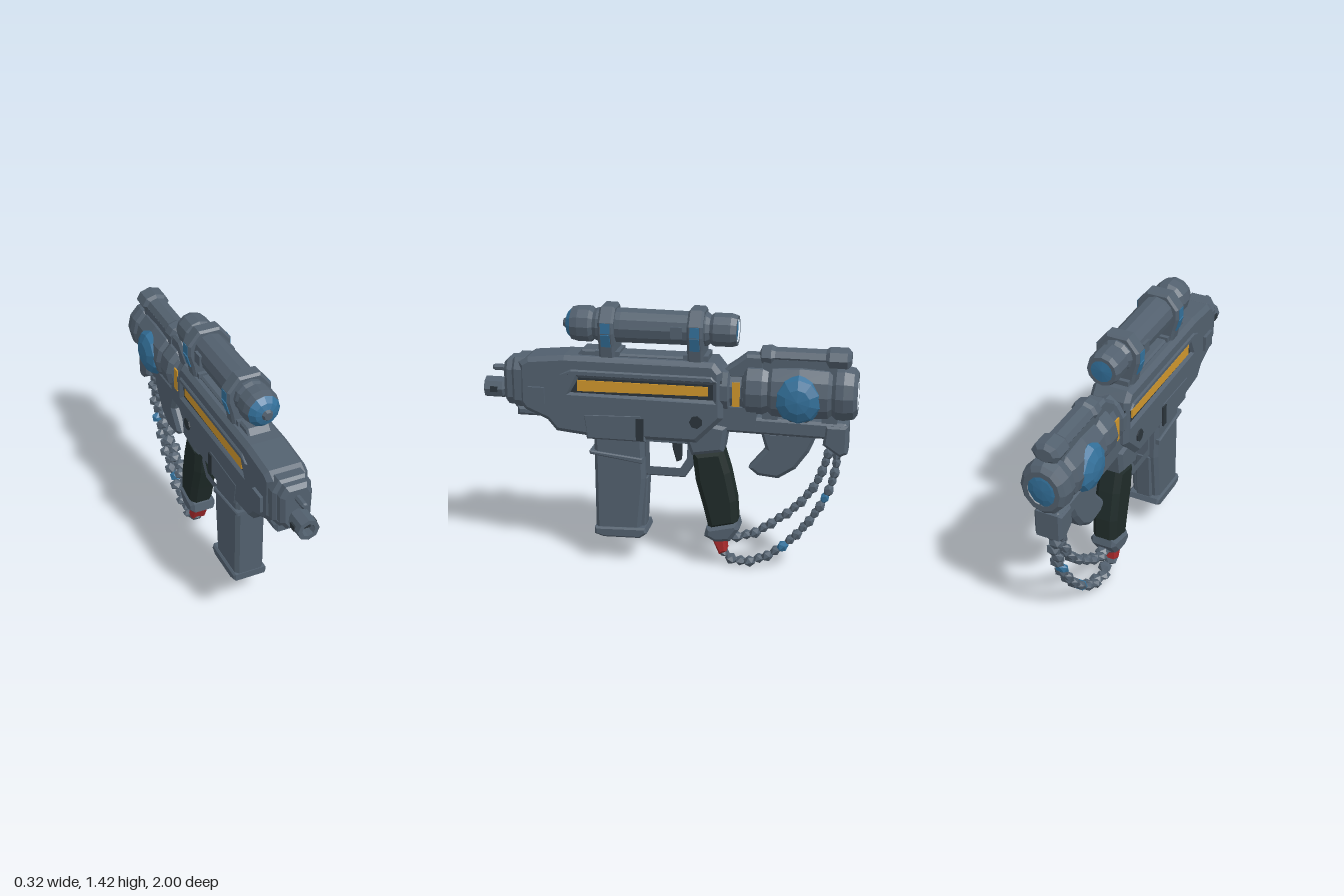
import * as THREE from 'three';

const flat = (name, color, side = THREE.FrontSide) => {
  const m = new THREE.MeshStandardMaterial({ color, side, flatShading: true });
  m.name = name;
  return m;
};

export function createModel() {
  const root = new THREE.Group();
  root.name = 'blaster';
  const slate = flat('slate metal', 0x52606e);
  const dark = flat('dark recess', 0x2b343b);
  const green = flat('dark grip', 0x1f2b29);
  const blue = flat('blue glass', 0x33709a);
  const yellow = flat('amber stripe', 0xcf962c);
  const red = flat('red tip', 0xa82a2c);

  const add = (name, geo, mat, x = 0, y = 0, z = 0) => {
    const mesh = new THREE.Mesh(geo, mat);
    mesh.name = name;
    mesh.position.set(x, y, z);
    root.add(mesh);
    return mesh;
  };
  const box = (name, mat, w, h, d, x, y, z) => add(name, new THREE.BoxGeometry(w, h, d), mat, x, y, z);
  const shapeOf = (pts) => new THREE.Shape(pts.map(([a, b]) => new THREE.Vector2(a, b)));

  // Side profile of [z, y] points, extruded across x with a chamfer
  const slab = (name, mat, pts, width, bevel = 0.015, hole = null) => {
    const s = shapeOf(pts);
    if (hole) s.holes.push(new THREE.Path(hole.map(([a, b]) => new THREE.Vector2(a, b))));
    const g = new THREE.ExtrudeGeometry(s, {
      depth: width - 2 * bevel, bevelEnabled: bevel > 0, bevelSegments: 1,
      bevelSize: bevel, bevelThickness: bevel, bevelOffset: -bevel,
    });
    g.translate(0, 0, bevel - width / 2).rotateY(-Math.PI / 2);
    return add(name, g, mat);
  };
  // Front profile of [x, y] points, extruded along z between two depths
  const section = (name, mat, pts, z0, z1, bevel = 0.015) => {
    const g = new THREE.ExtrudeGeometry(shapeOf(pts), {
      depth: z1 - z0 - 2 * bevel, bevelEnabled: true, bevelSegments: 1,
      bevelSize: bevel, bevelThickness: bevel, bevelOffset: -bevel,
    });
    return add(name, g, mat, 0, 0, z0 + bevel);
  };
  // Turned part along z from [z, radius] points, rear to front
  const turned = (name, mat, pts, y, sides = 12, sx = 1, x = 0) => {
    const g = new THREE.LatheGeometry(pts.map(([z, r]) => new THREE.Vector2(r, z)), sides);
    g.rotateX(Math.PI / 2).scale(sx, 1, 1);
    return add(name, g, mat, x, y, 0);
  };

  // Receiver with a long slot through its sides
  slab('receiver', slate, [
    [0.79, 0.9], [0.79, 1.12], [0.74, 1.15], [0.54, 1.17], [-0.26, 1.17], [-0.3, 1.12], [-0.31, 0.87],
    [-0.24, 0.8], [-0.17, 0.73], [0.1, 0.73], [0.4, 0.73], [0.59, 0.75], [0.64, 0.81], [0.76, 0.86],
  ], 0.22, 0.024, [[0.5, 0.975], [-0.25, 0.975], [-0.25, 1.045], [0.46, 1.045]]);
  box('slotCore', dark, 0.186, 0.13, 0.84, 0, 1.01, 0.12);
  slab('lowerForeEnd', slate, [[0.81, 0.82], [0.81, 0.87], [0.4, 0.87], [0.4, 0.78], [0.62, 0.79], [0.66, 0.82]], 0.16);
  slab('topRail', slate, [[0.49, 1.15], [0.45, 1.2], [0.37, 1.2], [0.34, 1.185], [-0.2, 1.185], [-0.25, 1.15]], 0.13, 0.01);
  for (const s of [-1, 1]) {
    const stripe = slab('sideStripe', yellow, [[0.47, 0.98], [0.47, 1.04], [-0.23, 1.04], [-0.23, 0.99]], 0.008, 0);
    stripe.position.x = s * 0.096;
    const ridge = slab('sideRidge', slate, [[0.56, 1.07], [0.5, 1.1], [-0.25, 1.1], [-0.28, 1.07]], 0.03, 0.008);
    ridge.position.x = s * 0.105;
    const plate = slab('lowerSidePlate', slate, [[0.42, 0.72], [0.44, 0.86], [0.12, 0.87], [0.1, 0.72]], 0.03, 0.01);
    plate.position.x = s * 0.098;
    box('frontLug', slate, 0.03, 0.09, 0.09, s * 0.112, 0.95, 0.69);
    box('magazineCatch', dark, 0.012, 0.12, 0.04, s * 0.113, 0.79, 0.13);
    const pin = add('selector', new THREE.CylinderGeometry(0.035, 0.035, 0.02, 7), dark, s * 0.108, 0.85, -0.17);
    pin.rotation.z = Math.PI / 2;
  }

  // Faceted front collar, muzzle and front rod
  const collar = [[-0.06, 0.86], [0.06, 0.86], [0.1, 0.91], [0.105, 1.08], [0.07, 1.14], [-0.07, 1.14], [-0.105, 1.08], [-0.1, 0.91]];
  section('frontCollar', slate, collar, 0.75, 0.83);
  section('frontCap', slate, collar.map(([x, y]) => [x * 0.82, 1 + (y - 1) * 0.9]), 0.8, 0.88, 0.02);
  turned('muzzle', slate, [[0.8, 0.045], [0.89, 0.045], [0.9, 0.058], [1, 0.058], [1, 0.035], [0.94, 0.03], [0.94, 0]], 0.95, 8);
  box('muzzleVent', dark, 0.122, 0.03, 0.04, 0, 0.95, 0.945);
  turned('frontRod', slate, [[0.85, 0.018], [0.95, 0.018], [0.96, 0.012], [0.96, 0]], 1.06, 7);

  // Magazine with flared top band and base plate
  slab('magazine', slate, [[0.39, 0.75], [0.385, 0.18], [0.14, 0.18], [0.11, 0.5], [0.12, 0.75]], 0.165, 0.02);
  slab('magazineBand', slate, [[0.41, 0.63], [0.41, 0.65], [0.12, 0.62], [0.12, 0.59]], 0.19, 0.006);
  slab('magazineBase', slate, [[0.39, 0.17], [0.39, 0.21], [0.11, 0.22], [0.1, 0.19], [0.14, 0.16], [0.34, 0.155]], 0.19, 0.01);
  slab('magazineSpine', slate, [[0.15, 0.5], [0.15, 0.2], [0.115, 0.2], [0.1, 0.5]], 0.09, 0.008);

  // Trigger and guard
  slab('triggerGuard', slate, [
    [0.12, 0.51], [-0.1, 0.51], [-0.16, 0.6], [-0.17, 0.75], [0.12, 0.75],
  ], 0.075, 0.008, [[0.1, 0.555], [-0.08, 0.555], [-0.12, 0.62], [-0.12, 0.71], [0.1, 0.71]]);
  slab('trigger', dark, [[-0.02, 0.74], [-0.03, 0.66], [-0.05, 0.59], [-0.075, 0.6], [-0.08, 0.74]], 0.04, 0.006);

  // Curved hand grip, its end cap and red tip
  slab('gripHousing', slate, [[-0.1, 0.76], [-0.14, 0.65], [-0.31, 0.68], [-0.33, 0.82], [-0.2, 0.84]], 0.165, 0.02);
  slab('grip', green, [
    [-0.14, 0.66], [-0.16, 0.5], [-0.2, 0.36], [-0.235, 0.22], [-0.39, 0.26], [-0.38, 0.4], [-0.345, 0.56], [-0.305, 0.69],
  ], 0.14, 0.03);
  slab('gripCap', slate, [[-0.21, 0.19], [-0.22, 0.24], [-0.39, 0.28], [-0.4, 0.24], [-0.35, 0.17], [-0.27, 0.16]], 0.15, 0.02);
  slab('redTip', red, [[-0.25, 0.17], [-0.29, 0.08], [-0.33, 0.1], [-0.32, 0.18]], 0.095, 0.012);

  // Neck joining the receiver to the rear canister
  turned('neck', slate, [[-0.47, 0.12], [-0.41, 0.12], [-0.4, 0.1], [-0.34, 0.1], [-0.33, 0.13], [-0.27, 0.13]], 1.01, 10, 0.8);
  slab('neckBridge', slate, [[-0.3, 1.12], [-0.37, 1.17], [-0.42, 1.21], [-0.52, 1.21], [-0.52, 1.08], [-0.3, 1.08]], 0.1);
  box('neckFloor', slate, 0.14, 0.1, 0.2, 0, 0.88, -0.38);
  for (const s of [-1, 1]) box('neckStripe', yellow, 0.008, 0.13, 0.04, s * 0.086, 1.005, -0.375);

  // Rear canister with glass domes on its sides and a glass end
  turned('canister', slate, [
    [-1, 0.085], [-1, 0.115], [-0.98, 0.14], [-0.93, 0.15], [-0.89, 0.145], [-0.87, 0.125], [-0.85, 0.145],
    [-0.7, 0.155], [-0.56, 0.145], [-0.54, 0.125], [-0.51, 0.14], [-0.43, 0.14], [-0.41, 0.11], [-0.41, 0],
  ], 1.02, 12, 0.87);
  turned('rearGlass', blue, [[-0.995, 0], [-0.99, 0.06], [-0.98, 0.1]], 1.02, 10, 0.87);
  for (const s of [-1, 1]) {
    const bezel = add('domeBezel', new THREE.CylinderGeometry(0.11, 0.14, 0.06, 10), slate, s * 0.09, 1, -0.7);
    bezel.rotation.z = -s * Math.PI / 2;
    const dome = add('sideDome', new THREE.SphereGeometry(0.13, 10, 6), blue, s * 0.095, 1, -0.7);
    dome.rotation.z = -s * Math.PI / 2;
    dome.scale.set(1, 0.5, 1);
  }
  turned('upperTube', slate, [
    [-0.96, 0], [-0.96, 0.035], [-0.94, 0.058], [-0.85, 0.058], [-0.83, 0.044], [-0.57, 0.044], [-0.55, 0.054], [-0.5, 0.05], [-0.48, 0],
  ], 1.205, 8, 1.35);
  box('upperTubeSeat', slate, 0.11, 0.07, 0.38, 0, 1.16, -0.7);

  // Lower stock bar, rear block and curved fin
  slab('stockBar', slate, [[-0.24, 0.88], [-0.94, 0.87], [-0.96, 0.85], [-0.95, 0.78], [-0.26, 0.79]], 0.13);
  slab('stockEnd', slate, [[-0.84, 0.86], [-0.96, 0.86], [-0.96, 0.71], [-0.92, 0.69], [-0.83, 0.75]], 0.15);
  slab('stockFin', slate, [
    [-0.5, 0.8], [-0.53, 0.7], [-0.44, 0.59], [-0.49, 0.55], [-0.6, 0.54], [-0.69, 0.6], [-0.76, 0.7], [-0.8, 0.8],
  ], 0.1, 0.02);
  for (const z of [-0.55, -0.86]) box('canisterSaddle', slate, 0.11, 0.06, 0.08, 0, 0.88, z);

  // Telescopic sight with glass at both ends
  turned('scope', slate, [
    [-0.37, 0.06], [-0.37, 0.08], [-0.34, 0.09], [-0.25, 0.09], [-0.23, 0.075], [-0.21, 0.09], [0.24, 0.094],
    [0.37, 0.09], [0.39, 0.08], [0.41, 0.098], [0.47, 0.098], [0.51, 0.088],
  ], 1.325);
  turned('scopeFrontGlass', blue, [[0.505, 0.088], [0.535, 0.06], [0.545, 0.03]], 1.325);
  turned('scopeFrontBoss', slate, [[0.54, 0.034], [0.56, 0.022], [0.56, 0]], 1.325, 7);
  turned('scopeRearGlass', blue, [[-0.368, 0], [-0.36, 0.072]], 1.325);
  const ring = [
    [-0.085, 1.15], [0.085, 1.15], [0.1, 1.23], [0.12, 1.3], [0.12, 1.36],
    [0.06, 1.435], [-0.06, 1.435], [-0.12, 1.36], [-0.12, 1.3], [-0.1, 1.23],
  ];
  for (const z of [0.31, -0.16]) {
    section('scopeRing', slate, ring, z - 0.042, z + 0.042, 0.012);
    box('scopeFoot', slate, 0.15, 0.035, 0.13, 0, 1.18, z);
    for (const s of [-1, 1]) {
      box('ringPanel', blue, 0.008, 0.055, 0.05, s * 0.119, 1.33, z);
      const low = box('ringPanelLower', blue, 0.008, 0.07, 0.05, s * 0.111, 1.263, z);
      low.rotation.z = -s * 0.28;
    }
  }
  box('scopeKnob', slate, 0.2, 0.06, 0.06, 0, 1.32, -0.06);

  // Two strands of beads hanging between stock and grip
  const strands = [
    [[-0.33, 0.17], [-0.46, 0.2], [-0.58, 0.28], [-0.7, 0.38], [-0.79, 0.5], [-0.84, 0.62], [-0.87, 0.74]],
    [[-0.31, 0.08], [-0.36, 0.045], [-0.42, 0.035], [-0.54, 0.075], [-0.67, 0.18], [-0.79, 0.33], [-0.87, 0.49], [-0.9, 0.62], [-0.9, 0.74]],
  ];
  const bead = new THREE.IcosahedronGeometry(0.03, 0);
  strands.forEach((pts, k) => {
    const curve = new THREE.CatmullRomCurve3(pts.map(([z, y]) => new THREE.Vector3(0, y, z)));
    const n = Math.round(curve.getLength() / 0.052);
    add('cord', new THREE.TubeGeometry(curve, 24, 0.013, 5), dark);
    for (let i = 0; i <= n; i++) {
      const p = curve.getPointAt(i / n);
      const m = add('bead', bead, k === 1 && i % 7 === 0 && i > 0 && i < n ? blue : slate, (i % 2 ? 1 : -1) * 0.008, p.y, p.z);
      m.lookAt(curve.getTangentAt(i / n).add(m.position));
      m.scale.set(1.4, 0.85 + 0.15 * (i % 2), 1.15);
    }
  });
  return root;
}
